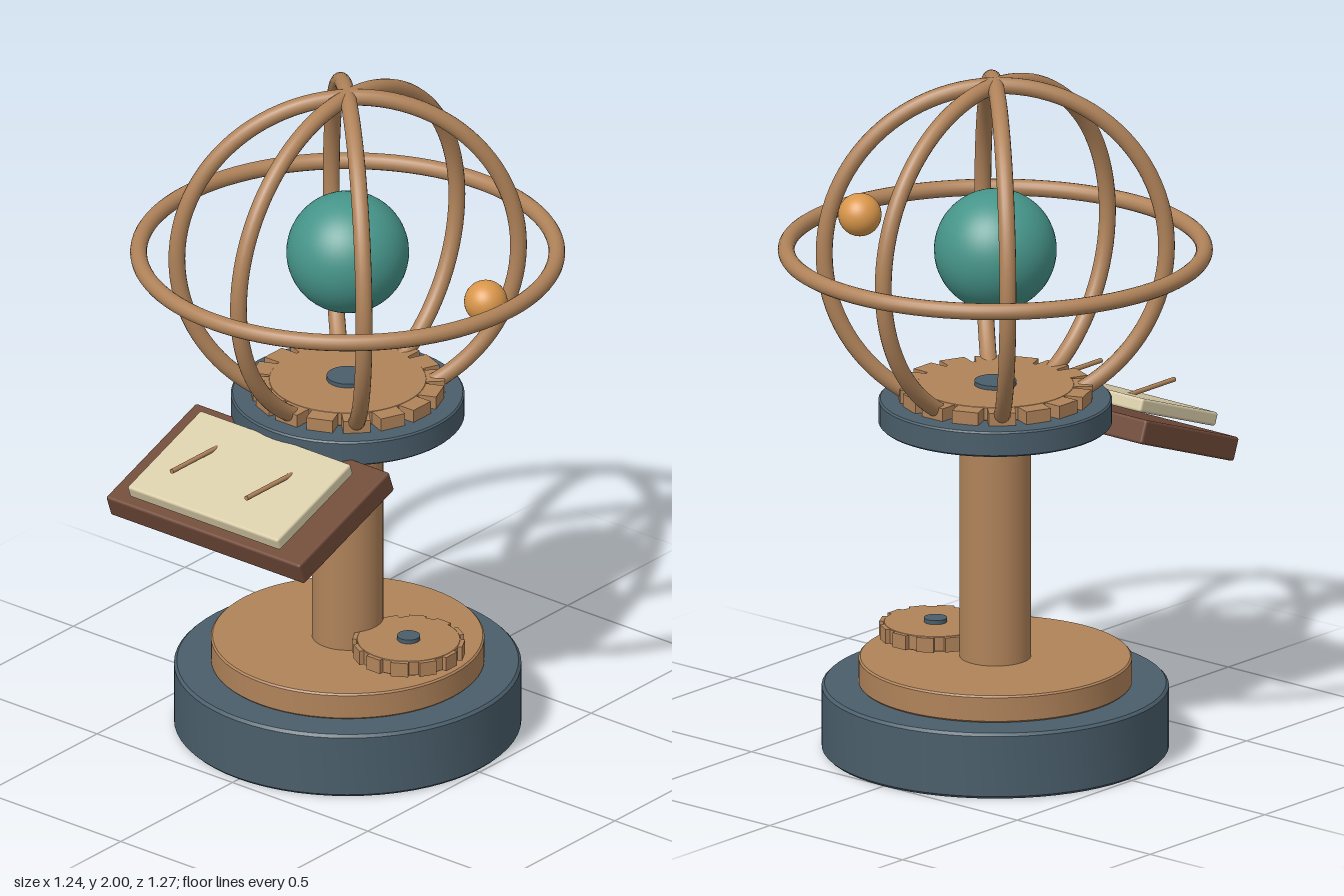
import * as THREE from 'three';
import { toCreasedNormals } from 'three/addons/utils/BufferGeometryUtils.js';
import { RoundedBoxGeometry } from 'three/addons/geometries/RoundedBoxGeometry.js';

const AXIS_Z = -0.016; // the stand sits slightly behind the centre
const GLOBE_Y = 1.487;
const TILT = THREE.MathUtils.degToRad(20);

export function createModel() {
  const model = new THREE.Group();
  model.name = 'armillaryStand';

  const material = (name, color) => {
    const m = new THREE.MeshStandardMaterial({ color });
    m.name = name;
    return m;
  };
  const slate = material('slate', 0x4a5e6b);
  const bronze = material('bronze', 0xb0835a);
  const teal = material('teal', 0x46958a);
  const amber = material('amber', 0xd9964a);
  const wood = material('wood', 0x704a38);
  const paper = material('paper', 0xd8cca8);

  const add = (parent, name, geometry, mat, x = 0, y = 0, z = 0) => {
    const mesh = new THREE.Mesh(geometry, mat);
    mesh.name = name;
    mesh.position.set(x, y, z);
    parent.add(mesh);
    return mesh;
  };

  // Disc between two heights, with a slightly bevelled rim
  const disc = (radius, y0, y1, bevel = 0.005) => {
    const profile = [
      [0, y0], [radius - bevel, y0], [radius, y0 + bevel],
      [radius, y1 - bevel], [radius - bevel, y1], [0, y1],
    ].map(([r, y]) => new THREE.Vector2(r, y));
    return toCreasedNormals(new THREE.LatheGeometry(profile, 64), 0.5);
  };

  // Toothed wheel with a raised hub
  const gear = (name, o) => {
    const group = new THREE.Group();
    group.name = name;
    add(group, 'wheel', disc(o.body, 0, o.height, 0.002), bronze);
    const length = o.outer - o.inner;
    for (let i = 0; i < o.teeth; i++) {
      const a = (i / o.teeth) * Math.PI * 2;
      const r = o.inner + length / 2;
      const tooth = add(group, 'tooth', new THREE.BoxGeometry(length, o.height - 0.002, o.width), bronze,
        Math.cos(a) * r, o.height / 2, Math.sin(a) * r);
      tooth.rotation.y = -a;
    }
    add(group, 'hub', new THREE.CylinderGeometry(o.hub, o.hub, o.height + 0.012, 32), slate,
      0, (o.height + 0.012) / 2, 0);
    return group;
  };

  // Stand
  const stand = new THREE.Group();
  stand.name = 'stand';
  stand.position.z = AXIS_Z;
  model.add(stand);
  add(stand, 'base', disc(0.495, 0, 0.195, 0.008), slate);
  add(stand, 'baseStep', disc(0.39, 0.195, 0.275), bronze);
  add(stand, 'column', new THREE.CylinderGeometry(0.102, 0.102, 0.71, 48), bronze, 0, 0.625, 0);
  add(stand, 'platform', disc(0.333, 0.97, 1.045), slate);

  // Gears
  const topGear = gear('topGear', {
    body: 0.225, inner: 0.197, outer: 0.275, width: 0.078, height: 0.04, teeth: 16, hub: 0.06,
  });
  topGear.position.y = 1.045;
  const sideGear = gear('sideGear', {
    body: 0.148, inner: 0.11, outer: 0.159, width: 0.05, height: 0.045, teeth: 12, hub: 0.033,
  });
  sideGear.position.set(0.225, 0.286, 0);
  stand.add(topGear, sideGear);

  // Globe, moon and surrounding rings
  const sphere = new THREE.Group();
  sphere.name = 'armillarySphere';
  sphere.position.set(0, GLOBE_Y, AXIS_Z);
  model.add(sphere);
  add(sphere, 'globe', new THREE.SphereGeometry(0.175, 48, 32), teal);
  add(sphere, 'moon', new THREE.SphereGeometry(0.062, 32, 24), amber, 0.51, 0, 0);
  add(sphere, 'horizonRing', new THREE.TorusGeometry(0.596, 0.024, 16, 96), bronze).rotation.x = Math.PI / 2;
  for (const angle of [1, 2, 3]) {
    const hoop = add(sphere, 'meridianRing', new THREE.TorusGeometry(0.489, 0.024, 16, 96), bronze);
    hoop.rotation.y = (angle * Math.PI) / 4;
  }

  // Tilted desk with a slab of paper
  const board = add(model, 'deskBoard', new RoundedBoxGeometry(0.716, 0.07, 0.432, 3, 0.008), wood, 0, 0.885, 0.421);
  const page = add(model, 'paperSlab', new RoundedBoxGeometry(0.556, 0.04, 0.352, 3, 0.008), paper, 0, 0.943, 0.465);
  board.rotation.x = page.rotation.x = TILT;

  // Two level rods rising out of the slab
  for (const side of [-1, 1]) {
    const rod = add(model, 'rod', new THREE.CylinderGeometry(0.007, 0.007, 0.235, 12), bronze, side * 0.138, 0.981, 0.4875);
    rod.rotation.x = Math.PI / 2;
  }

  return model;
}
